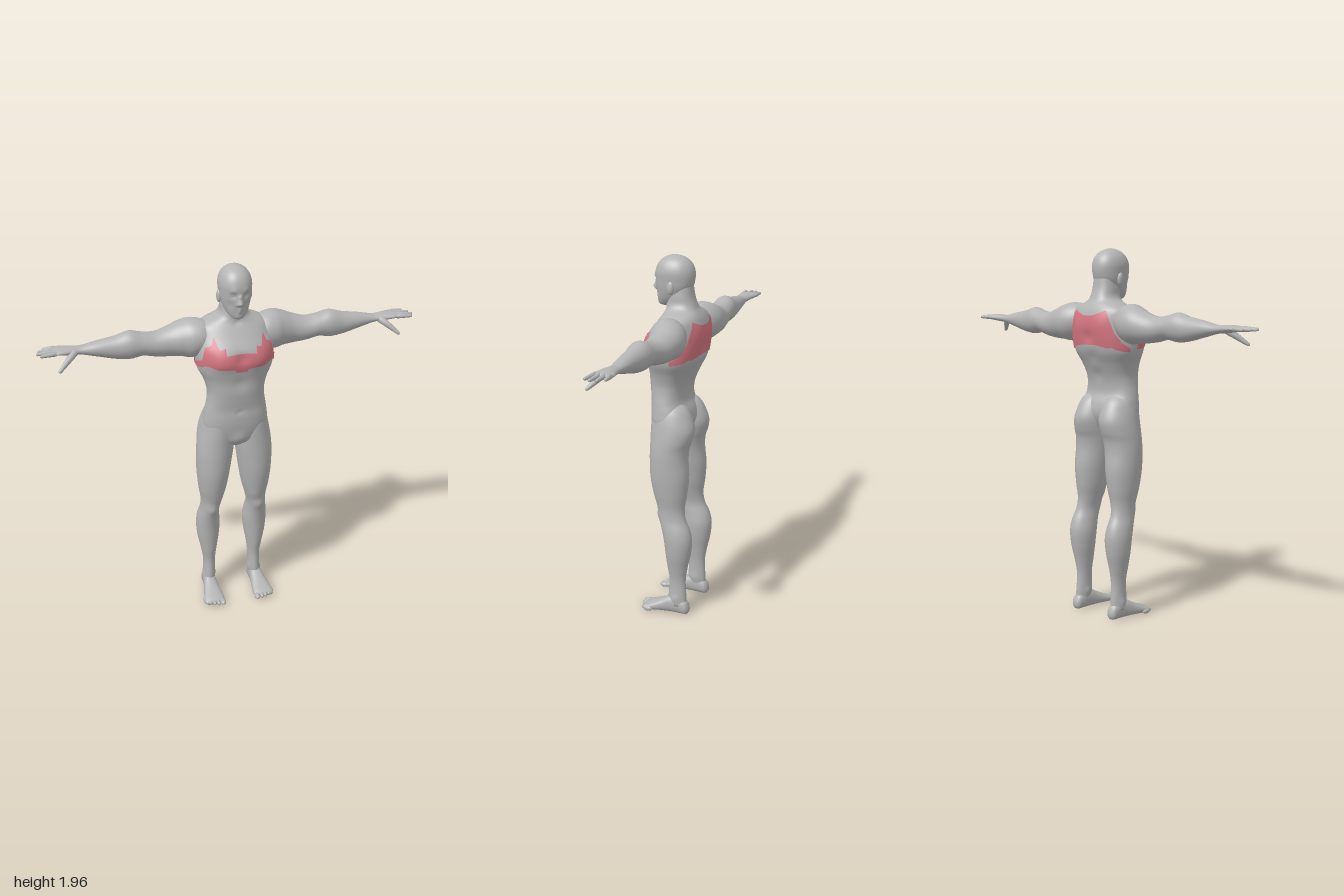
import * as THREE from 'three';

const skin = new THREE.MeshStandardMaterial({ color: 0xb4b4b4 });
skin.name = 'grey skin';
const cloth = new THREE.MeshStandardMaterial({ color: 0xd67681, side: THREE.DoubleSide });
cloth.name = 'rose cloth';

// Smooth (Hermite) interpolation of section rows [t, a0, a1, b0, b1]
function sectionAt(rows, t) {
  let i = 0;
  while (i < rows.length - 2 && t > rows[i + 1][0]) i++;
  const p = rows[i], q = rows[i + 1], h = q[0] - p[0], s = (t - p[0]) / h;
  const slope = (k, c) => {
    const l = rows[Math.max(k - 1, 0)], r = rows[Math.min(k + 1, rows.length - 1)];
    return (r[c] - l[c]) / (r[0] - l[0]);
  };
  return [1, 2, 3, 4].map(c =>
    p[c] * (2 * s ** 3 - 3 * s * s + 1) + q[c] * (3 * s * s - 2 * s ** 3) +
    h * slope(i, c) * (s ** 3 - 2 * s * s + s) + h * slope(i + 1, c) * (s ** 3 - s * s));
}

// Surface point of a body part; bumps are [x, y, z, radius, push]
function surfacePoint(part, t, angle, lift = 0) {
  const [a0, a1, b0, b1] = sectionAt(part.rows, t);
  const bend = v => Math.sign(v) * Math.abs(v) ** (2 / (part.power || 2));
  const place = (a, b) => part.axis === 'y' ? new THREE.Vector3(a, t, b)
    : part.axis === 'x' ? new THREE.Vector3(t, a, b) : new THREE.Vector3(a, b, t);
  const mid = place((a0 + a1) / 2, (b0 + b1) / 2);
  const p = place((a0 + a1) / 2 + Math.abs(a1 - a0) / 2 * bend(Math.cos(angle)),
    (b0 + b1) / 2 + Math.abs(b1 - b0) / 2 * bend(Math.sin(angle)));
  const out = p.clone().sub(mid).normalize();
  let push = lift;
  for (const [x, y, z, r, amount] of part.bumps || [])
    for (const m of x ? [x, -x] : [0])
      push += amount * Math.exp(-((p.x - m) ** 2 + (p.y - y) ** 2 + (p.z - z) ** 2) / (r * r));
  return p.addScaledVector(out, push);
}

// Closed skin over the sections, wound outwards
function loft(part, rings, sides) {
  const pos = [], idx = [], rows = part.rows;
  const t0 = rows[0][0], t1 = rows[rows.length - 1][0];
  for (let i = -1; i <= rings + 1; i++) {
    const t = t0 + (t1 - t0) * Math.min(Math.max(i / rings, 0), 1);
    const ring = Array.from({ length: sides }, (_, j) => surfacePoint(part, t, j / sides * Math.PI * 2));
    if (i < 0 || i > rings) {
      const c = ring.reduce((s, p) => s.add(p), new THREE.Vector3()).divideScalar(sides);
      ring.forEach(p => p.copy(c));
    }
    ring.forEach(p => pos.push(p.x, p.y, p.z));
  }
  const flip = part.axis === 'y';
  for (let i = 0; i < rings + 2; i++) for (let j = 0; j < sides; j++) {
    const a = i * sides + j, b = i * sides + (j + 1) % sides, c = a + sides, d = b + sides;
    if (flip) idx.push(a, c, b, b, c, d); else idx.push(a, b, c, b, d, c);
  }
  return finish(pos, idx);
}

function finish(pos, idx) {
  const g = new THREE.BufferGeometry();
  g.setAttribute('position', new THREE.Float32BufferAttribute(pos, 3));
  g.setIndex(idx);
  g.computeVertexNormals();
  return g;
}

function mirrored(geometry) {
  const g = geometry.clone().scale(-1, 1, 1), k = g.index.array;
  for (let i = 0; i < k.length; i += 3) [k[i], k[i + 1]] = [k[i + 1], k[i]];
  g.computeVertexNormals();
  return g;
}

// Tapered round-tipped rod for fingers
function rod(from, to, r0, r1) {
  const a = new THREE.Vector3(...from), b = new THREE.Vector3(...to), len = a.distanceTo(b);
  const profile = [[0, 0], [r0, 0.01], [(r0 + r1) / 2, len * 0.5], [r1, len - r1], [r1 * 0.7, len - r1 * 0.3], [0, len]];
  const g = new THREE.LatheGeometry(profile.map(p => new THREE.Vector2(...p)), 12);
  g.applyQuaternion(new THREE.Quaternion().setFromUnitVectors(new THREE.Vector3(0, 1, 0), b.clone().sub(a).normalize()));
  return g.translate(...from);
}

const ellipsoid = (x, y, z, rx, ry, rz) => new THREE.SphereGeometry(1, 20, 14).scale(rx, ry, rz).translate(x, y, z);

// Rows along y: [y, half width, front, back]
const sym = rows => rows.map(([y, w, front, back]) => [y, -w, w, back, front]);
const torso = {
  axis: 'y', power: 2.35,
  rows: sym([[0.97, 0.03, 0.06, -0.01], [1.0, 0.095, 0.092, -0.05], [1.05, 0.16, 0.106, -0.085],
    [1.1, 0.175, 0.115, -0.1], [1.15, 0.17, 0.118, -0.092], [1.2, 0.161, 0.116, -0.07], [1.25, 0.152, 0.122, -0.07],
    [1.3, 0.151, 0.128, -0.083], [1.36, 0.168, 0.13, -0.108], [1.42, 0.196, 0.138, -0.138], [1.48, 0.203, 0.148, -0.152],
    [1.54, 0.2, 0.138, -0.156], [1.6, 0.19, 0.098, -0.154], [1.64, 0.178, 0.07, -0.143], [1.665, 0.14, 0.054, -0.13],
    [1.685, 0.092, 0.05, -0.116], [1.71, 0.072, 0.05, -0.105], [1.75, 0.067, 0.045, -0.092], [1.81, 0.06, 0.035, -0.083]]),
  bumps: [[0.085, 1.48, 0.14, 0.06, 0.01], [0, 1.5, 0.15, 0.03, -0.008], [0, 1.4, -0.13, 0.035, -0.007],
    [0, 1.5, -0.155, 0.035, -0.01], [0, 1.3, -0.08, 0.035, -0.006], [0.07, 1.56, -0.15, 0.05, 0.006],
    [0, 1.03, 0.11, 0.035, 0.01], [0, 1.19, 0.115, 0.012, -0.005], [0, 1.36, 0.13, 0.04, -0.006], [0, 1.66, 0.055, 0.015, -0.006]]
};
const head = {
  axis: 'y', power: 2.15,
  rows: sym([[1.692, 0.012, 0.085, 0.045], [1.7, 0.032, 0.096, 0.025], [1.72, 0.05, 0.102, -0.01], [1.75, 0.065, 0.106, -0.045],
    [1.79, 0.077, 0.111, -0.08], [1.83, 0.082, 0.115, -0.093], [1.87, 0.084, 0.114, -0.094], [1.905, 0.075, 0.102, -0.083],
    [1.93, 0.058, 0.082, -0.062], [1.945, 0.038, 0.058, -0.038], [1.953, 0.018, 0.034, -0.014], [1.956, 0.004, 0.014, 0.006]]),
  bumps: [[0, 1.818, 0.115, 0.011, 0.009], [0, 1.8, 0.115, 0.012, 0.012], [0, 1.783, 0.114, 0.013, 0.024],
    [0.013, 1.778, 0.112, 0.008, 0.006], [0.033, 1.825, 0.105, 0.016, -0.009], [0.033, 1.826, 0.1, 0.008, 0.005],
    [0.03, 1.848, 0.108, 0.016, 0.004], [0, 1.753, 0.106, 0.011, 0.006], [0, 1.739, 0.105, 0.01, 0.005],
    [0, 1.714, 0.1, 0.018, 0.004], [0.045, 1.775, 0.09, 0.02, -0.003]]
};
const leg = {
  axis: 'y',
  rows: [[0.05, 0.103, 0.17, -0.115, -0.01], [0.1, 0.1, 0.167, -0.113, -0.01], [0.2, 0.098, 0.165, -0.108, -0.015],
    [0.28, 0.088, 0.178, -0.12, -0.004], [0.36, 0.075, 0.194, -0.137, 0.005], [0.44, 0.069, 0.2, -0.144, 0.015],
    [0.5, 0.075, 0.195, -0.132, 0.028], [0.56, 0.08, 0.184, -0.105, 0.045], [0.62, 0.068, 0.183, -0.097, 0.055],
    [0.7, 0.046, 0.195, -0.108, 0.08], [0.8, 0.028, 0.205, -0.115, 0.098], [0.9, 0.013, 0.207, -0.107, 0.102],
    [0.96, 0.004, 0.204, -0.112, 0.102], [1.0, 0.0, 0.2, -0.127, 0.102], [1.06, -0.004, 0.19, -0.138, 0.102],
    [1.12, 0.0, 0.176, -0.12, 0.098], [1.17, 0.015, 0.155, -0.09, 0.08], [1.2, 0.04, 0.12, -0.05, 0.04]],
  bumps: [[0.13, 0.57, 0.05, 0.028, 0.008], [0.1, 0.64, 0.05, 0.035, 0.006], [0.105, 0.1, -0.06, 0.02, 0.006], [0.168, 0.09, -0.06, 0.02, 0.006]]
};
// Rows along x: [x, y0, y1, z0, z1]
const arm = {
  axis: 'x',
  rows: [[0.08, 1.55, 1.63, -0.06, 0.01], [0.16, 1.49, 1.665, -0.125, 0.055], [0.22, 1.468, 1.673, -0.148, 0.055],
    [0.27, 1.474, 1.66, -0.15, 0.035], [0.33, 1.478, 1.635, -0.14, 0.017], [0.4, 1.487, 1.616, -0.125, 0.014],
    [0.47, 1.502, 1.624, -0.115, 0.015], [0.53, 1.493, 1.639, -0.11, 0.017], [0.6, 1.5, 1.621, -0.101, 0.008],
    [0.7, 1.525, 1.604, -0.09, -0.004], [0.78, 1.545, 1.588, -0.081, -0.015], [0.83, 1.55, 1.59, -0.087, -0.008],
    [0.88, 1.556, 1.59, -0.1, 0.0], [0.91, 1.561, 1.586, -0.1, -0.004], [0.922, 1.567, 1.58, -0.09, -0.015]]
};
// Rows along z: [z, x0, x1, y0, y1]
const foot = {
  axis: 'z', power: 2.3,
  rows: [[-0.13, 0.12, 0.15, 0.015, 0.045], [-0.12, 0.107, 0.163, 0.002, 0.07], [-0.08, 0.102, 0.168, 0, 0.095],
    [-0.03, 0.1, 0.173, 0, 0.1], [0.02, 0.095, 0.183, 0, 0.076], [0.07, 0.088, 0.195, 0, 0.053],
    [0.11, 0.087, 0.2, 0, 0.036], [0.128, 0.095, 0.195, 0.005, 0.025]]
};

// Thin cloth panel following the torso; table rows are [share of quarter turn, bottom, top]
function panel(table, middle) {
  const pos = [], idx = [], cols = 160, rows = 12, reach = table[table.length - 1][0];
  for (let i = 0; i <= cols; i++) {
    const s = (i / cols * 2 - 1) * reach, d = Math.abs(s);
    let k = 0;
    while (k < table.length - 2 && d > table[k + 1][0]) k++;
    const f = (d - table[k][0]) / (table[k + 1][0] - table[k][0]);
    const [low, high] = [1, 2].map(c => THREE.MathUtils.lerp(table[k][c], table[k + 1][c], f));
    for (let j = 0; j <= rows; j++) {
      const p = surfacePoint(torso, low + (high - low) * j / rows, middle - s * Math.PI / 2, 0.005);
      pos.push(p.x, p.y, p.z);
      if (i < cols && j < rows) {
        const a = i * (rows + 1) + j, b = a + rows + 1;
        idx.push(a, b, a + 1, b, b + 1, a + 1);
      }
    }
  }
  return finish(pos, idx);
}

export function createModel() {
  const model = new THREE.Group();
  model.name = 'figure';
  const add = (name, geometry, material = skin) => {
    const mesh = new THREE.Mesh(geometry, material);
    mesh.name = name;
    model.add(mesh);
  };
  const pair = (name, geometry) => {
    add('left ' + name, geometry);
    add('right ' + name, mirrored(geometry));
  };

  add('torso and neck', loft(torso, 110, 80));
  add('head', loft(head, 90, 112));
  pair('ear', ellipsoid(0.08, 1.797, 0.003, 0.013, 0.034, 0.019));
  pair('leg', loft(leg, 90, 40));
  pair('foot', loft(foot, 36, 32));
  pair('arm', loft(arm, 90, 40));

  // Toes, from big to little
  for (let i = 0; i < 5; i++)
    pair('toe', ellipsoid(0.101 + i * 0.022 + (i ? 0.004 : 0), 0.015, 0.128 - i * i * 0.0022, i ? 0.011 : 0.016, 0.014, 0.026));

  // Fingers, from index to little, then the thumb
  [[-0.014, 0.0, 0.985], [-0.038, -0.032, 1.0], [-0.063, -0.064, 0.99], [-0.087, -0.094, 0.965]].forEach(([z0, z1, tip]) =>
    pair('finger', rod([0.895, 1.574, z0], [tip, 1.572, z1], 0.013, 0.008)));
  pair('thumb', rod([0.805, 1.572, -0.03], [0.902, 1.492, 0.04], 0.021, 0.009));

  // Ragged chest band and back panel
  add('chest cloth', panel([[0, 1.43, 1.53], [0.065, 1.43, 1.53], [0.07, 1.447, 1.53], [0.2, 1.45, 1.525], [0.21, 1.45, 1.56],
    [0.31, 1.447, 1.55], [0.42, 1.455, 1.61], [0.47, 1.46, 1.57], [0.62, 1.462, 1.555], [0.7, 1.45, 1.49],
    [0.9, 1.44, 1.47], [1, 1.44, 1.465]], Math.PI / 2), cloth);
  add('back cloth', panel([[0, 1.46, 1.61], [0.1, 1.46, 1.615], [0.35, 1.445, 1.64], [0.42, 1.45, 1.6],
    [0.5, 1.44, 1.53], [0.65, 1.43, 1.475], [0.85, 1.425, 1.445]], -Math.PI / 2), cloth);
  return model;
}
